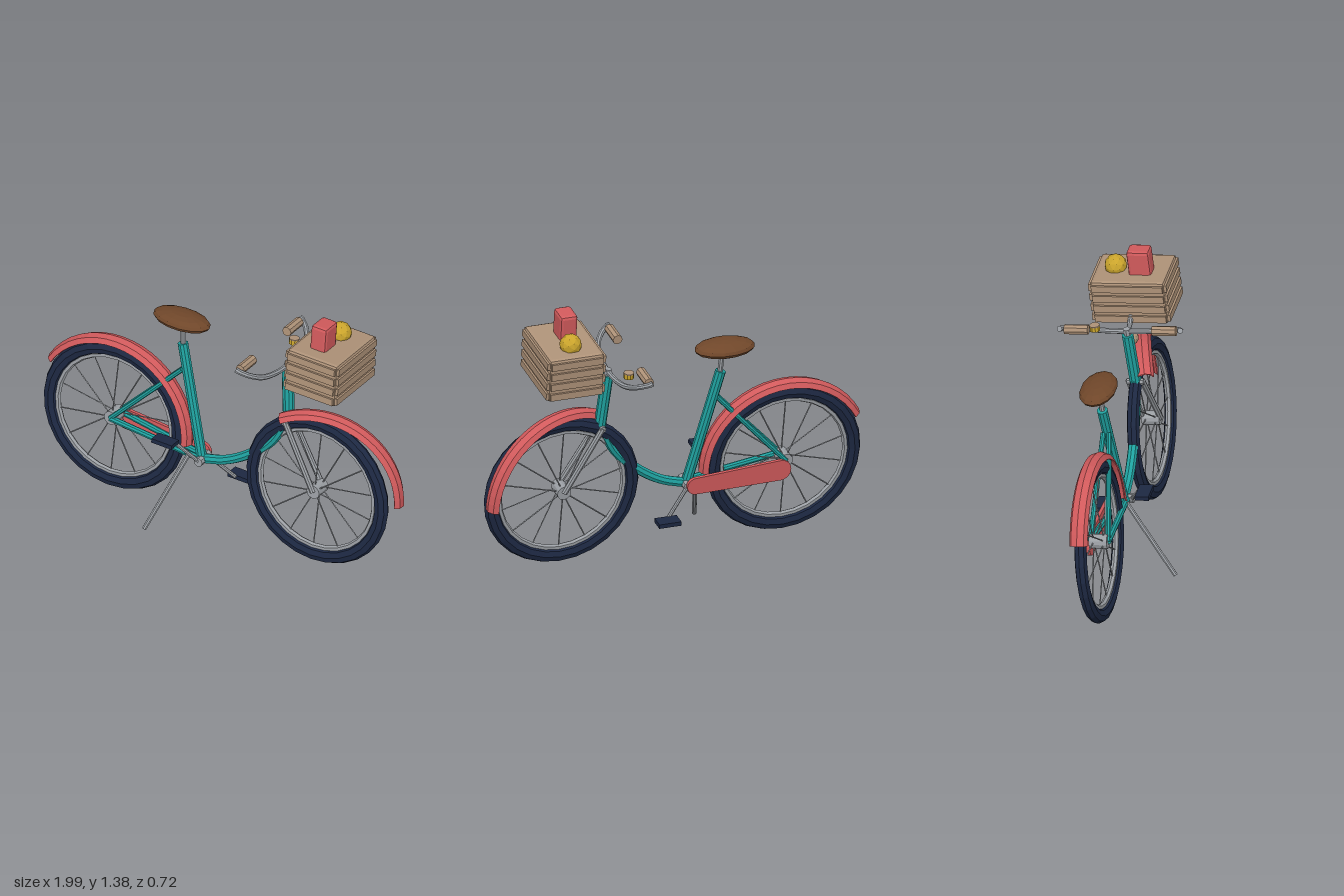
import * as THREE from 'three';
import { RoundedBoxGeometry } from 'three/addons/geometries/RoundedBoxGeometry.js';

const paint = (name, color, side = THREE.FrontSide) => {
  const m = new THREE.MeshStandardMaterial({ color, side, flatShading: true });
  m.name = name;
  return m;
};
const V = (x, y, z = 0) => new THREE.Vector3(x, y, z);

export function createModel() {
  const teal = paint('teal', 0x1fa19f);
  const red = paint('red', 0xd15a5c, THREE.DoubleSide);
  const navy = paint('navy', 0x1d2842);
  const steel = paint('steel', 0x9b9fa4);
  const tan = paint('tan', 0xae9278);
  const brown = paint('brown', 0x70472a);
  const yellow = paint('yellow', 0xcba52c);

  const model = new THREE.Group();
  model.name = 'bicycle';
  // The whole bicycle leans over on its stand
  const bike = new THREE.Group();
  bike.name = 'leaningBicycle';
  bike.position.z = 0.09;
  bike.rotation.x = -0.12;
  model.add(bike);

  const add = (name, geo, mat, pos = V(0, 0), parent = bike) => {
    const mesh = new THREE.Mesh(geo, mat);
    mesh.name = name;
    mesh.position.copy(pos);
    parent.add(mesh);
    return mesh;
  };
  // Straight rod between two points
  const rod = (name, a, b, r, mat, sides = 8, parent = bike) => {
    const d = b.clone().sub(a);
    const mesh = add(name, new THREE.CylinderGeometry(r, r, d.length(), sides), mat, a.clone().add(b).multiplyScalar(0.5), parent);
    mesh.quaternion.setFromUnitVectors(V(0, 1), d.normalize());
    return mesh;
  };
  const bent = (name, pts, r, mat, steps = 20) =>
    add(name, new THREE.TubeGeometry(new THREE.CatmullRomCurve3(pts), steps, r, 8), mat);

  // Wheels
  const rear = V(-0.6, 0.41), front = V(0.56, 0.41);
  for (const [name, centre] of [['rearWheel', rear], ['frontWheel', front]]) {
    const wheel = new THREE.Group();
    wheel.name = name;
    wheel.position.copy(centre);
    bike.add(wheel);
    const tyre = new THREE.TorusGeometry(0.366, 0.038, 8, 28);
    tyre.scale(1, 1, 0.82);
    add('tyre', tyre, navy, V(0, 0), wheel);
    const rim = new THREE.TorusGeometry(0.325, 0.015, 6, 28);
    add('rim', rim, steel, V(0, 0), wheel);
    const hub = new THREE.CylinderGeometry(0.036, 0.036, 0.09, 12);
    add('hub', hub.rotateX(Math.PI / 2), steel, V(0, 0), wheel);
    for (let i = 0; i < 14; i++) {
      const a = (i + 0.5) * Math.PI / 7, c = Math.cos(a), s = Math.sin(a);
      rod('spoke', V(0.03 * c, 0.03 * s, i % 2 ? 0.025 : -0.025), V(0.32 * c, 0.32 * s), 0.0035, steel, 4, wheel);
    }
  }

  // Mudguards: arched profile swept round each wheel, angles from the top
  const mudguard = (name, centre, from, to) => {
    const profile = [[0.405, -0.046], [0.43, -0.032], [0.441, 0], [0.43, 0.032], [0.405, 0.046],
      [0.402, 0.04], [0.423, 0.028], [0.433, 0], [0.423, -0.028], [0.402, -0.04], [0.405, -0.046]]
      .map(([r, w]) => new THREE.Vector2(r, w));
    const rad = THREE.MathUtils.degToRad;
    const geo = new THREE.LatheGeometry(profile, 20, rad(from), rad(to - from));
    return add(name, geo.rotateX(-Math.PI / 2), red, centre);
  };
  mudguard('rearMudguard', rear, -62, 92);
  mudguard('frontMudguard', front, -30, 90).rotation.y = 0.26;

  // Frame
  const bracket = V(-0.09, 0.345);
  rod('seatTube', V(-0.095, 0.335), V(-0.25, 0.95), 0.027, teal, 10);
  bent('downTube', [bracket, V(0.04, 0.385), V(0.18, 0.475), V(0.29, 0.59), V(0.365, 0.74)], 0.025, teal);
  rod('headTube', V(0.375, 0.71), V(0.345, 1.02), 0.03, teal, 10);
  for (const s of [1, -1]) {
    rod('chainStay', V(-0.6, 0.41, 0.045 * s), V(-0.1, 0.35, 0.02 * s), 0.016, teal);
    rod('seatStay', V(-0.6, 0.41, 0.045 * s), V(-0.235, 0.81, 0.015 * s), 0.013, teal);
    rod('forkBlade', V(0.37, 0.74, 0.035 * s), V(0.56, 0.41, 0.045 * s), 0.015, steel);
  }
  rod('forkCrown', V(0.37, 0.735, -0.042), V(0.37, 0.735, 0.042), 0.017, steel);
  rod('bottomBracket', V(-0.09, 0.345, -0.05), V(-0.09, 0.345, 0.05), 0.024, steel);

  // Saddle
  rod('seatPost', V(-0.245, 0.92), V(-0.255, 1.06), 0.014, steel);
  const saddle = new THREE.SphereGeometry(1, 14, 8);
  add('saddle', saddle.scale(0.156, 0.04, 0.092), brown, V(-0.265, 1.08));

  // Chain guard: flat capsule on the far side
  const guard = new THREE.Shape();
  guard.absarc(-0.565, 0.372, 0.056, Math.PI / 2, Math.PI * 1.5);
  guard.absarc(-0.125, 0.352, 0.045, -Math.PI / 2, Math.PI / 2);
  add('chainGuard', new THREE.ExtrudeGeometry(guard, { depth: 0.018, bevelEnabled: false, curveSegments: 8 }), red, V(0, 0, -0.066));

  // Cranks and pedals
  for (const s of [1, -1]) {
    rod('crank', V(-0.09, 0.345, 0.04 * s), V(-0.09 - 0.125 * s, 0.345 + 0.118 * s, 0.115 * s), 0.01, steel);
    add('pedal', new THREE.BoxGeometry(0.115, 0.022, 0.07), navy, V(-0.09 - 0.138 * s, 0.345 + 0.12 * s, 0.149 * s));
  }

  // Kickstand
  rod('kickstand', V(-0.155, 0.36, 0.03), V(-0.25, 0.006, 0.258), 0.012, steel);

  // Handlebar, stem and grips
  const half = [[0.235, 1.115, 0.305], [0.275, 1.095, 0.28], [0.318, 1.065, 0.215], [0.338, 1.045, 0.11]];
  bent('handlebar', [...half.map(p => V(...p)), V(0.343, 1.04),
    ...half.map(([x, y, z]) => V(x, y, -z)).reverse()], 0.014, steel, 30);
  for (const s of [1, -1]) {
    rod('barEnd', V(0.225, 1.12, 0.306 * s), V(0.24, 1.113, 0.303 * s), 0.0145, steel);
    rod('grip', V(0.235, 1.112, 0.162 * s), V(0.235, 1.112, 0.282 * s), 0.025, tan);
  }
  rod('stem', V(0.348, 0.99), V(0.342, 1.055), 0.018, steel);
  rod('basketBracket', V(0.345, 1.0), V(0.46, 1.08), 0.013, steel);

  // Bell
  rod('bellBody', V(0.29, 1.076, -0.145), V(0.29, 1.1, -0.145), 0.026, yellow, 10);
  rod('bellCap', V(0.29, 1.1, -0.145), V(0.29, 1.106, -0.145), 0.026, tan, 10);

  // Headlamp
  add('headlamp', new THREE.SphereGeometry(0.037, 12, 8), tan, V(0.4, 0.97));

  // Slatted crate
  const crate = new THREE.Group();
  crate.name = 'crate';
  crate.position.set(0.58, 1.14, 0);
  bike.add(crate);
  add('crateBody', new RoundedBoxGeometry(0.286, 0.235, 0.376, 1, 0.018), tan, V(0, 0), crate);
  for (let i = 0; i < 4; i++) {
    const y = -0.085 + i * 0.056;
    for (const s of [1, -1]) {
      add('sideSlat', new THREE.BoxGeometry(0.27, 0.036, 0.018), tan, V(0, y, 0.189 * s), crate);
      add('endSlat', new THREE.BoxGeometry(0.018, 0.036, 0.36), tan, V(0.144 * s, y, 0), crate);
    }
  }

  // Goods in the crate
  add('carton', new RoundedBoxGeometry(0.09, 0.16, 0.115, 1, 0.016), red, V(-0.02, 0.165, 0.05), crate);
  add('fruit', new THREE.IcosahedronGeometry(0.056, 1), yellow, V(0, 0.135, -0.083), crate);

  return model;
}
